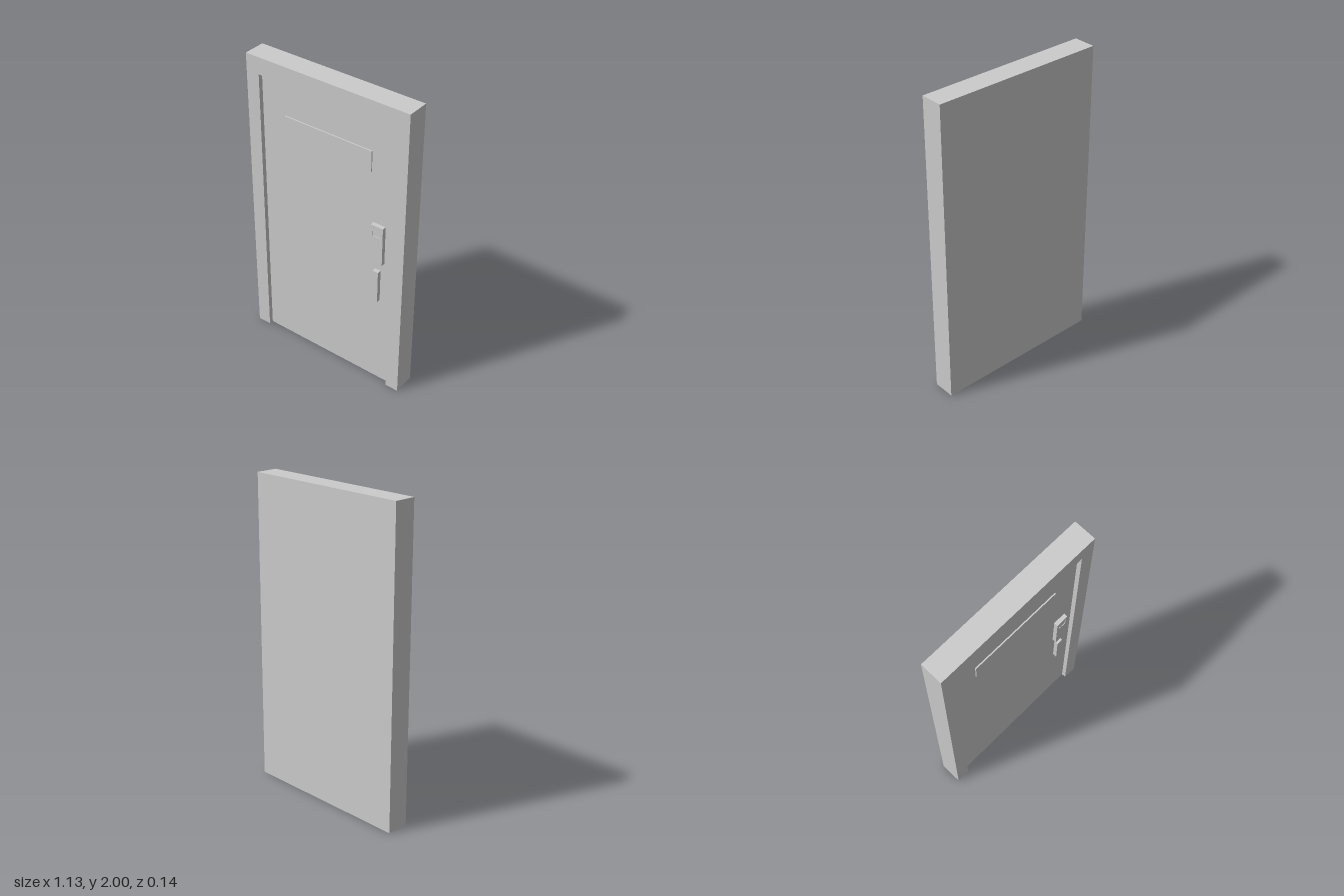
import * as THREE from 'three';

const BACK = -0.072, FACE = 0.043, FRONT = 0.072;

export function createModel() {
  const group = new THREE.Group();
  const material = new THREE.MeshStandardMaterial({ color: 0xcccccc, flatShading: true });

  const add = (name, geometry) => {
    const mesh = new THREE.Mesh(geometry, material);
    mesh.name = name;
    group.add(mesh);
  };
  // Box given by its limits on each axis
  const box = (name, x0, x1, y0, y1, z0, z1) => add(name,
    new THREE.BoxGeometry(x1 - x0, y1 - y0, z1 - z0)
      .translate((x0 + x1) / 2, (y0 + y1) / 2, (z0 + z1) / 2));
  const points = (list) => list.map(([x, y]) => new THREE.Vector2(x, y));
  const rect = (x0, x1, y0, y1) => points([[x0, y0], [x1, y0], [x1, y1], [x0, y1]]);
  // Flat outline pushed out from z0 to z1
  const extrude = (name, shape, z0, z1) => add(name,
    new THREE.ExtrudeGeometry(shape, { depth: z1 - z0, bevelEnabled: false }).translate(0, 0, z0));

  // Door slab, closed across the back
  box('doorSlab', -0.565, 0.565, 0, 2, BACK, FACE);

  // Raised surround, open at the floor
  extrude('doorFrame', new THREE.Shape(points([
    [-0.565, 0], [-0.475, 0], [-0.475, 1.89], [0.475, 1.89],
    [0.475, 0], [0.565, 0], [0.565, 2], [-0.565, 2],
  ])), FACE, FRONT);

  // Thin plate near the top
  box('upperPanel', -0.31, 0.31, 1.53, 1.665, FACE, FACE + 0.008);

  // Lock housing with a shallow recessed window
  const housing = new THREE.Shape(rect(0.33, 0.415, 0.925, 1.19));
  housing.holes.push(new THREE.Path(rect(0.345, 0.4, 1.115, 1.178)));
  box('lockBase', 0.33, 0.415, 0.925, 1.19, FACE, 0.066);
  extrude('lockCover', housing, 0.066, 0.07);

  // Upright pull handle
  box('handle', 0.35, 0.39, 0.635, 0.86, FACE, 0.07);

  return group;
}
